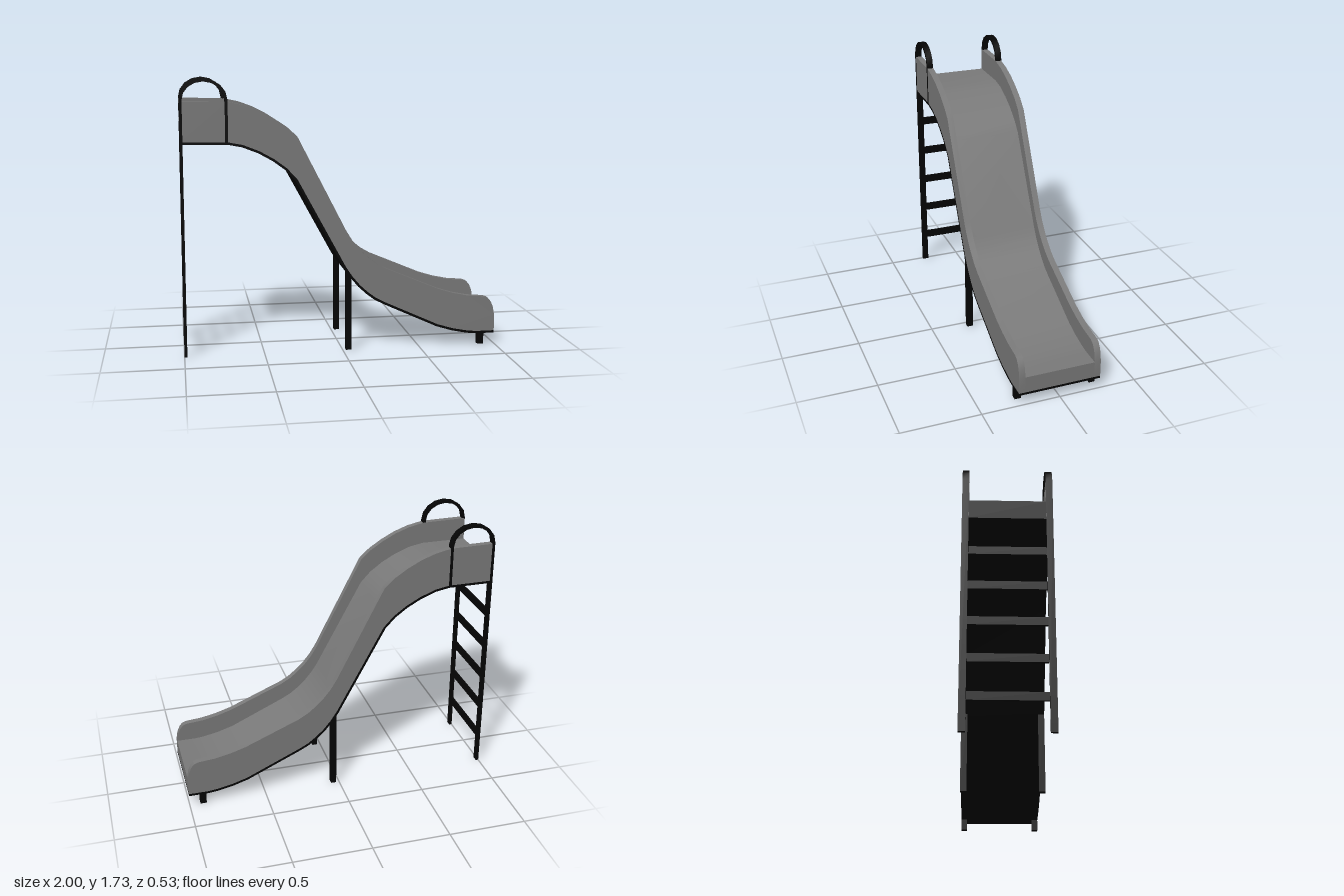
import * as THREE from 'three';
import { toCreasedNormals } from 'three/addons/utils/BufferGeometryUtils.js';

const grey = new THREE.MeshStandardMaterial({ color: 0x7a7a7a });
const black = new THREE.MeshStandardMaterial({ color: 0x050505 });

const INNER = 0.225, OUTER = 0.265;

// Side profile of the lower edge of the walls, from the platform down to the exit
const wallBottom = [
  [-1, 1.341], [-0.71, 1.339], [-0.62, 1.322], [-0.52, 1.283], [-0.43, 1.233], [-0.35, 1.174],
  [-0.285, 1.104], [0.02, 0.54], [0.06, 0.48], [0.11, 0.42], [0.16, 0.374], [0.21, 0.336],
  [0.27, 0.304], [0.62, 0.143], [0.72, 0.112], [0.82, 0.092], [0.88, 0.086], [1, 0.086],
];

// Top edge of the side walls, with the rounded nose at the exit
const wallTop = [
  [-1, 1.59], [-0.71, 1.585], [-0.61, 1.563], [-0.52, 1.53], [-0.43, 1.483], [-0.35, 1.43],
  [-0.285, 1.37], [0.02, 0.775], [0.06, 0.71], [0.11, 0.648], [0.16, 0.6], [0.21, 0.56],
  [0.27, 0.525], [0.62, 0.377], [0.72, 0.346], [0.82, 0.325], [0.93, 0.315], [0.955, 0.305],
  [0.975, 0.28], [0.99, 0.245], [1, 0.19],
];

const bedTop = wallBottom.map(([x, y]) => [x, y + 0.106]);

// Underside of the base sheet: an even thickness below the wall edge, square at both ends
const sheetBottom = wallBottom.map(([x, y], i) => {
  const last = wallBottom.length - 1;
  if (i === 0 || i === last) return [x, y - 0.015];
  const [ax, ay] = wallBottom[i - 1], [bx, by] = wallBottom[i + 1];
  const length = Math.hypot(bx - ax, by - ay);
  return [x + 0.015 * (by - ay) / length, y - 0.015 * (bx - ax) / length];
});

// Extrudes a side outline from z0 to z1, smooth along the curve, sharp at edges
function slab(name, outline, z0, z1, material) {
  const shape = new THREE.Shape(outline.map(([x, y]) => new THREE.Vector2(x, y)));
  const extruded = new THREE.ExtrudeGeometry(shape, { depth: z1 - z0, bevelEnabled: false });
  extruded.translate(0, 0, z0);
  const mesh = new THREE.Mesh(toCreasedNormals(extruded, 0.45), material);
  mesh.name = name;
  return mesh;
}

function box(name, x0, x1, y0, y1, z0, z1) {
  const mesh = new THREE.Mesh(new THREE.BoxGeometry(x1 - x0, y1 - y0, z1 - z0), black);
  mesh.position.set((x0 + x1) / 2, (y0 + y1) / 2, (z0 + z1) / 2);
  mesh.name = name;
  return mesh;
}

// Outline of the ladder post that bends over as a handle and ends at the platform
function handleOutline() {
  const left = -1.001, right = -0.708, base = 1.595, t = 0.018;
  const cx = (left + right) / 2, r = (right - left) / 2;
  const arc = (rx, ry) => Array.from({ length: 9 }, (_, i) => {
    const a = Math.PI * (1 - i / 8);
    return [cx + rx * Math.cos(a), base + ry * Math.sin(a)];
  });
  const outer = arc(r, 0.13), inner = arc(r - t, 0.13 - t).reverse();
  return [[left, 0], ...outer, [right, 1.328], [right - t, 1.328], ...inner, [left + t, 0]];
}

export function createModel() {
  const model = new THREE.Group();
  model.name = 'slide';

  // Chute: black base sheet and thick grey bed
  model.add(slab('baseSheet', [...sheetBottom, ...wallBottom.slice().reverse()], -OUTER, OUTER, black));
  model.add(slab('bed', [...wallBottom, ...bedTop.slice().reverse()], -INNER, INNER, grey));

  // Both sides: wall, handle with ladder post, supports
  const wall = [...wallBottom, ...wallTop.slice().reverse()];
  const middleSupport = [[0.02, 0], [0.055, 0], [0.055, 0.477], [0.02, 0.53]];
  for (const side of [-1, 1]) {
    const z0 = side > 0 ? INNER : -OUTER, z1 = side > 0 ? OUTER : -INNER;
    const prefix = side > 0 ? 'front' : 'back';
    model.add(slab(prefix + 'Wall', wall, z0, z1, grey));
    // Set slightly outwards, so the handle shows only on the outer face of the wall
    const shift = side * 0.001;
    model.add(slab(prefix + 'HandleAndPost', handleOutline(), z0 + shift, z1 + shift, black));
    model.add(slab(prefix + 'MiddleSupport', middleSupport, z0, z1, black));
    model.add(box(prefix + 'ExitSupport', 0.89, 0.93, 0, 0.08, z0, z1));
  }

  // Ladder rungs and the board closing the platform edge
  const ladder = new THREE.Group();
  ladder.name = 'ladder';
  for (let i = 0; i < 5; i++) {
    const y = 0.205 + i * 0.226;
    ladder.add(box('rung', -0.999, -0.983, y - 0.025, y + 0.025, -INNER, INNER));
  }
  ladder.add(box('platformEdge', -1.001, -0.985, 1.326, 1.446, -INNER, INNER));
  model.add(ladder);

  return model;
}
